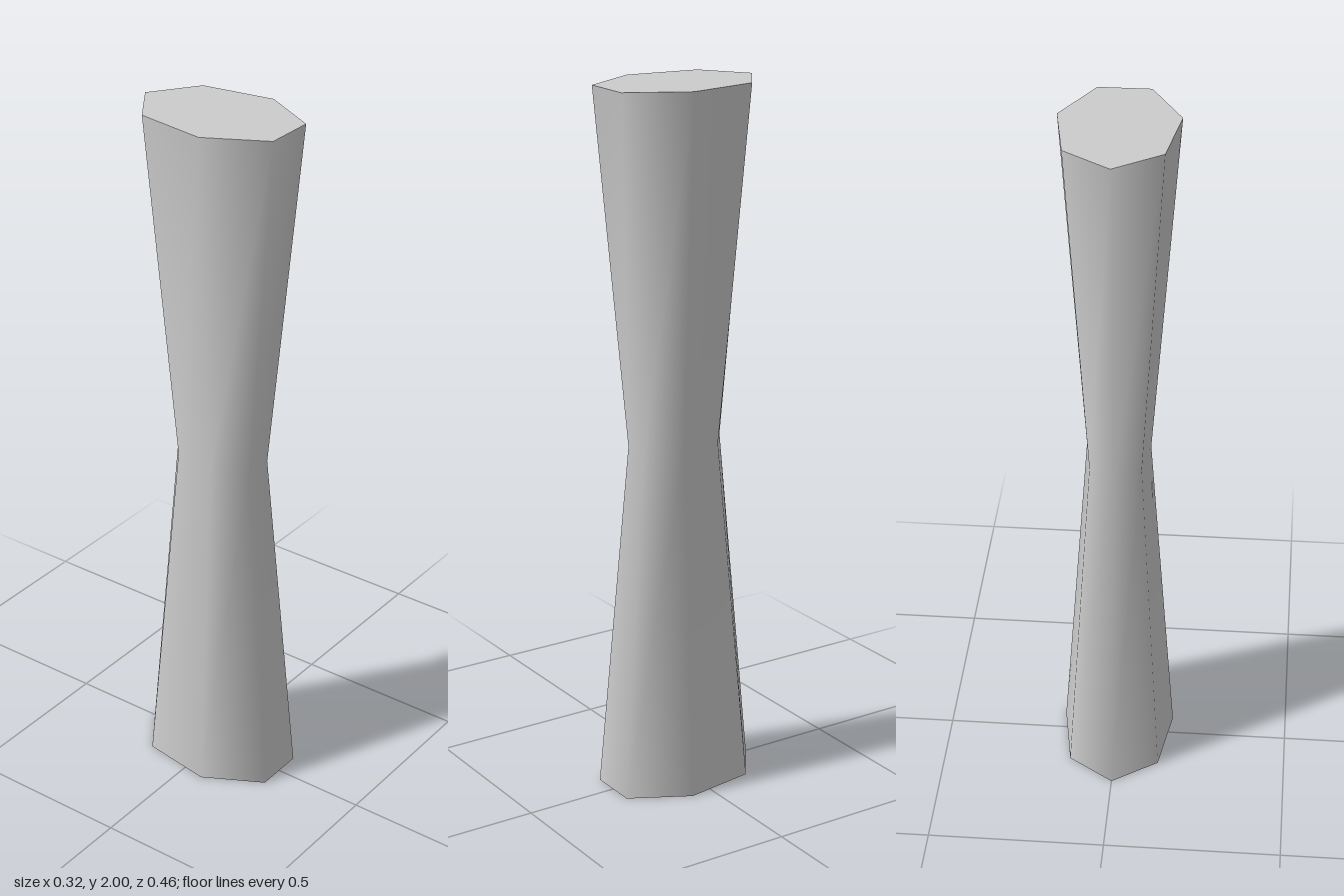
import * as THREE from 'three';
import { toCreasedNormals } from 'three/addons/utils/BufferGeometryUtils.js';

export function createModel() {
  const group = new THREE.Group();
  group.name = 'waistedColumn';

  // Seven-sided column with one ring at mid height, a corner pointing to the back
  const geometry = new THREE.CylinderGeometry(1, 1, 2, 7, 2, false, Math.PI);
  geometry.translate(0, 1, 0);

  // Stretch each ring to an oval heptagon; the middle ring is the narrow waist
  const end = { rx: 0.166, rz: 0.2425, z: 0.0115 };
  const waist = { rx: 0.092, rz: 0.145, z: 0.0145 };
  const pos = geometry.attributes.position;
  for (let i = 0; i < pos.count; i++) {
    const ring = Math.abs(pos.getY(i) - 1) < 0.5 ? waist : end;
    pos.setX(i, pos.getX(i) * ring.rx);
    pos.setZ(i, pos.getZ(i) * ring.rz + ring.z);
  }

  // Smooth sides, sharp rims
  const column = new THREE.Mesh(
    toCreasedNormals(geometry, 1.4),
    new THREE.MeshStandardMaterial({ color: 0xcccccc })
  );
  column.name = 'column';
  group.add(column);
  return group;
}
